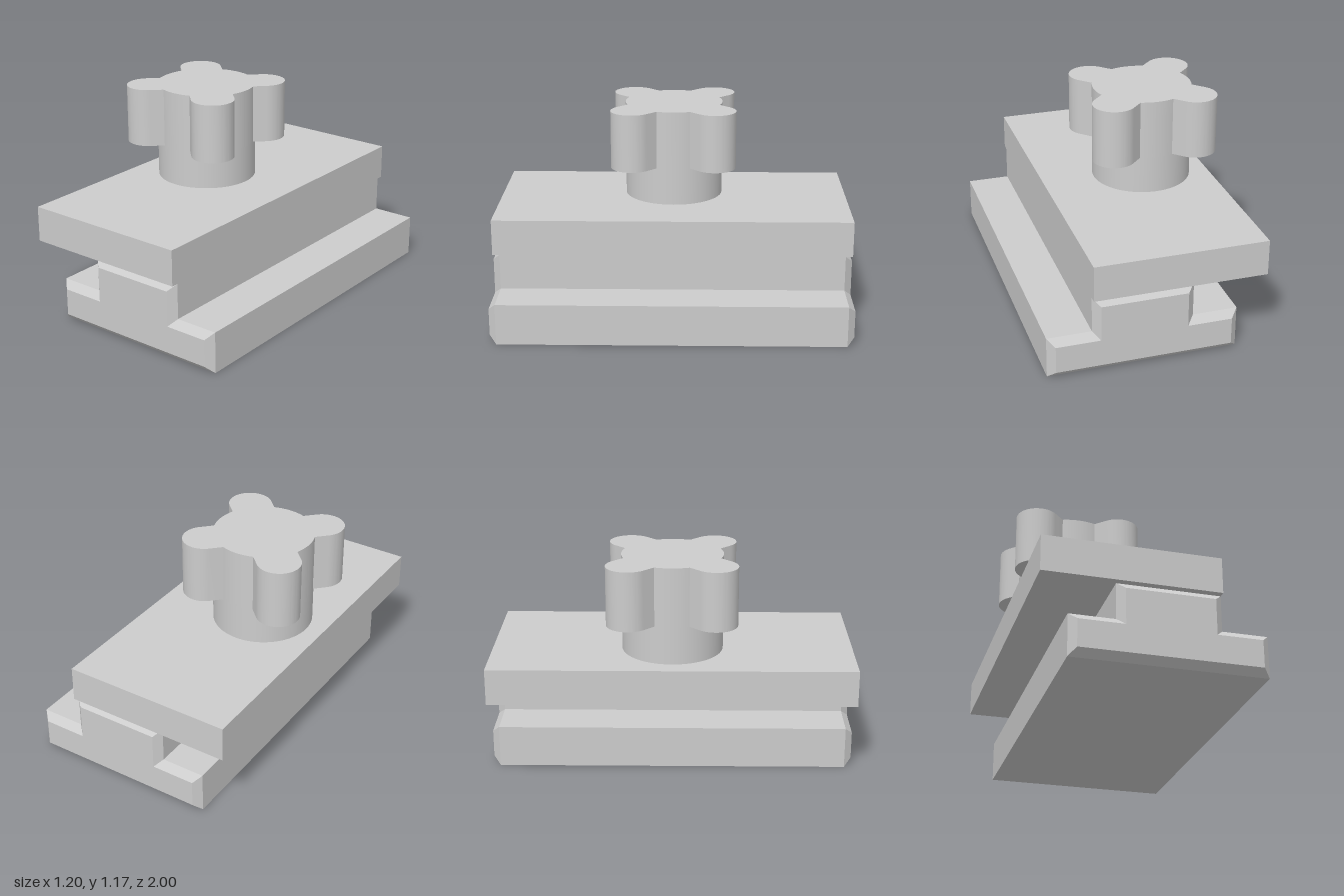
import * as THREE from 'three';
import { toCreasedNormals } from 'three/addons/utils/BufferGeometryUtils.js';

export function createModel() {
  const model = new THREE.Group();
  const steel = new THREE.MeshStandardMaterial({ color: 0xcccccc });
  steel.name = 'light grey';

  const add = (name, geometry, x = 0, y = 0, z = 0) => {
    const mesh = new THREE.Mesh(geometry, steel);
    mesh.name = name;
    mesh.position.set(x, y, z);
    model.add(mesh);
  };

  // T-shaped slide rail with chamfered ends
  const chamfer = 0.04;
  const profile = new THREE.Shape([
    [-0.45, 0], [0.6, 0], [0.6, 0.232], [0.355, 0.232],
    [0.355, 0.432], [-0.202, 0.432], [-0.202, 0.232], [-0.45, 0.232],
  ].map(([x, y]) => new THREE.Vector2(x, y)));
  add('slideRail', new THREE.ExtrudeGeometry(profile, {
    depth: 2 - 2 * chamfer, bevelEnabled: true, bevelSegments: 1,
    bevelThickness: chamfer, bevelSize: chamfer, bevelOffset: -chamfer,
  }), 0, 0, chamfer - 1);

  // Clamp plate, flush with the right side of the rail's stem
  add('clampPlate', new THREE.BoxGeometry(0.957, 0.2, 2), -0.1235, 0.532, 0);

  // Knob neck
  const knobX = -0.225, coreRadius = 0.28;
  add('knobNeck', new THREE.CylinderGeometry(coreRadius, coreRadius, 0.212, 64), knobX, 0.737, 0);

  // Knob head: round core with four straight-sided, round-ended lobes
  const lobeRadius = 0.12, lobeDistance = 0.332;
  const halfAngle = Math.asin(lobeRadius / coreRadius);
  const outline = new THREE.Shape();
  for (let i = 0; i < 4; i++) {
    const a = Math.PI / 4 + i * Math.PI / 2;
    outline.absarc(Math.cos(a) * lobeDistance, Math.sin(a) * lobeDistance,
      lobeRadius, a - Math.PI / 2, a + Math.PI / 2, false);
    outline.absarc(0, 0, coreRadius, a + halfAngle, a + Math.PI / 2 - halfAngle, false);
  }
  const head = new THREE.ExtrudeGeometry(outline, { depth: 0.33, bevelEnabled: false, curveSegments: 24 });
  head.rotateX(-Math.PI / 2);
  add('knobHead', toCreasedNormals(head, 0.5), knobX, 0.843, 0);

  return model;
}
